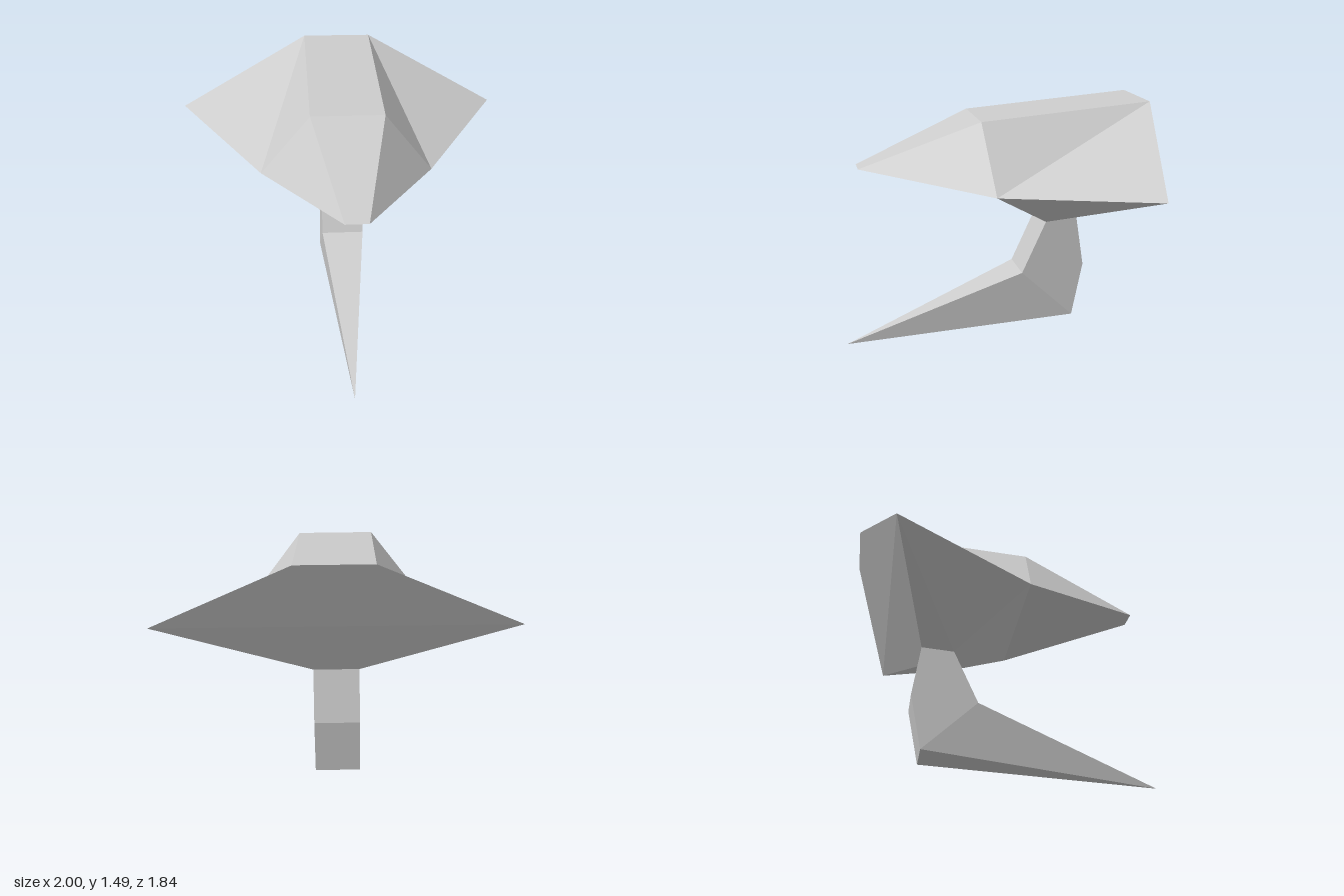
import * as THREE from 'three';

// Each row is a mirrored pair of corners: [half width, y, z]
const rows = {
  nose: [0.065, 1.13, 0.815],
  crownFront: [0.215, 1.407, 0.115],
  crownBack: [0.21, 1.487, -0.913],
  wing: [1.0, 1.095, -0.71],
  shoulder: [0.505, 1.033, 0.09],
  neckFront: [0.13, 0.752, -0.31],
  neckBack: [0.13, 0.768, -0.505],
  bendFront: [0.13, 0.43, -0.163],
  bendBack: [0.13, 0.46, -0.555],
  heel: [0.13, 0.125, -0.49],
  tip: [0, 0.002, 0.92],
};

const corner = (name, side) => {
  const [w, y, z] = rows[name];
  return new THREE.Vector3(w * side, y, z);
};

// strip: rows joined across the middle; panels: side faces, mirrored to both sides
function facetedMesh(name, strip, panels) {
  const positions = [];
  const addFace = (points) => {
    const p = points.filter((v, i) => !points.slice(0, i).some((u) => u.equals(v)));
    for (let i = 1; i < p.length - 1; i++) {
      for (const v of [p[0], p[i], p[i + 1]]) positions.push(v.x, v.y, v.z);
    }
  };
  for (let i = 0; i < strip.length - 1; i++) {
    const [a, b] = [strip[i], strip[i + 1]];
    addFace([corner(a, 1), corner(b, 1), corner(b, -1), corner(a, -1)]);
  }
  for (const panel of panels) {
    addFace(panel.map((n) => corner(n, 1)));
    addFace(panel.map((n) => corner(n, -1)).reverse());
  }
  const geometry = new THREE.BufferGeometry();
  geometry.setAttribute('position', new THREE.Float32BufferAttribute(positions, 3));
  geometry.computeVertexNormals();
  const material = new THREE.MeshStandardMaterial({ color: 0xcccccc, flatShading: true });
  const mesh = new THREE.Mesh(geometry, material);
  mesh.name = name;
  return mesh;
}

export function createModel() {
  const body = new THREE.Group();
  body.name = 'body';

  // Broad wedge-shaped head
  body.add(facetedMesh(
    'head',
    ['neckFront', 'shoulder', 'nose', 'crownFront', 'crownBack', 'wing', 'neckBack'],
    [
      ['nose', 'shoulder', 'crownFront'],
      ['shoulder', 'crownBack', 'crownFront'],
      ['shoulder', 'wing', 'crownBack'],
      ['shoulder', 'neckFront', 'wing'],
      ['neckFront', 'neckBack', 'wing'],
    ],
  ));

  // Bent stem tapering forward to a point
  body.add(facetedMesh(
    'stem',
    ['neckBack', 'bendBack', 'heel', 'tip', 'bendFront', 'neckFront'],
    [
      ['neckFront', 'bendFront', 'bendBack', 'neckBack'],
      ['bendFront', 'heel', 'bendBack'],
      ['bendFront', 'tip', 'heel'],
    ],
  ));

  // Slight turn and lean of the whole body
  body.rotation.set(0, -0.035, -0.015);
  body.position.x = -0.038;

  const model = new THREE.Group();
  model.name = 'model';
  model.add(body);
  return model;
}
